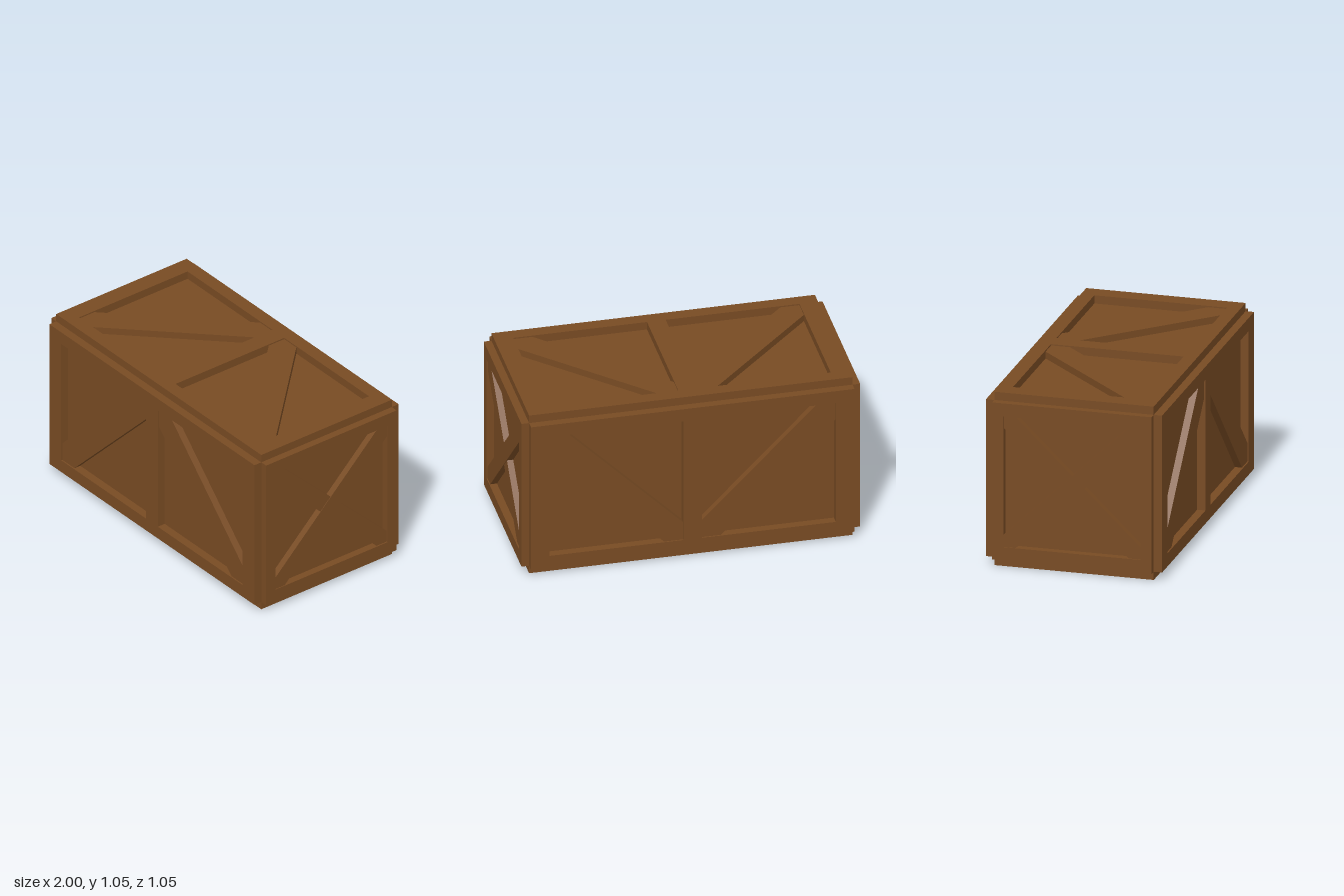
import * as THREE from 'three';

const HALF_LEN = 0.955, HALF = 0.477, RIM = 0.05, OPEN = 0.397;
const CENTRE_Y = HALF + RIM;

const polygon = pts => pts.map(([x, y]) => new THREE.Vector2(x, y));
const rect = (x0, x1, y0, y1) => polygon([[x0, y0], [x1, y0], [x1, y1], [x0, y1]]);

// Diagonal brace across a rectangle, trimmed to its corners; dir 1 rises with x, -1 falls
function diagonal(x0, x1, h, cut, dir) {
  const pts = [[x0, -h], [x0 + cut, -h], [x1, h - cut], [x1, h], [x1 - cut, h], [x0, -h + cut]];
  return polygon(dir > 0 ? pts : pts.map(([x, y]) => [x, -y]).reverse());
}

export function createModel() {
  const wood = new THREE.MeshStandardMaterial({ color: 0x784b23 });
  wood.name = 'brownWood';
  const model = new THREE.Group();
  model.name = 'crate';

  const add = (parent, name, outline, holes, depth, base) => {
    const shape = new THREE.Shape(outline);
    shape.holes = holes.map(h => new THREE.Path(h));
    const geo = new THREE.ExtrudeGeometry(shape, { depth, bevelEnabled: false });
    const mesh = new THREE.Mesh(geo, wood);
    mesh.name = name;
    mesh.position.z = base;
    parent.add(mesh);
  };

  // Solid body behind the frames
  const body = new THREE.Mesh(new THREE.BoxGeometry(HALF_LEN * 2, HALF * 2, HALF * 2), wood);
  body.name = 'body';
  body.position.y = CENTRE_Y;
  model.add(body);

  // Four long sides, each the previous one turned a quarter about the x axis
  ['front', 'top', 'back', 'bottom'].forEach((name, i) => {
    const side = new THREE.Group();
    side.name = name + 'Side';
    side.position.y = CENTRE_Y;
    side.rotation.x = -i * Math.PI / 2;
    add(side, name + 'Frame', rect(-HALF_LEN, HALF_LEN, -HALF, HALF),
      [rect(-0.845, -0.055, -OPEN, OPEN), rect(0.055, 0.845, -OPEN, OPEN)], RIM, HALF);
    add(side, name + 'BraceRight', diagonal(-0.845, -0.055, OPEN, 0.113, 1), [], 0.042, HALF);
    add(side, name + 'BraceLeft', diagonal(0.055, 0.845, OPEN, 0.113, -1), [], 0.042, HALF);
    model.add(side);
  });

  // Two square ends with crossed braces
  for (const s of [1, -1]) {
    const name = s > 0 ? 'left' : 'right';
    const end = new THREE.Group();
    end.name = name + 'End';
    end.position.y = CENTRE_Y;
    end.rotation.y = s * Math.PI / 2;
    add(end, name + 'Frame', rect(-HALF, HALF, -HALF, HALF),
      [rect(-0.41, 0.41, -OPEN, OPEN)], 0.045, HALF_LEN);
    add(end, name + 'Brace', diagonal(-0.41, 0.41, OPEN, 0.073, 1), [], 0.04, HALF_LEN);
    add(end, name + 'CrossBrace', diagonal(-0.41, 0.41, OPEN, 0.073, -1), [], 0.037, HALF_LEN);
    model.add(end);
  }
  return model;
}
